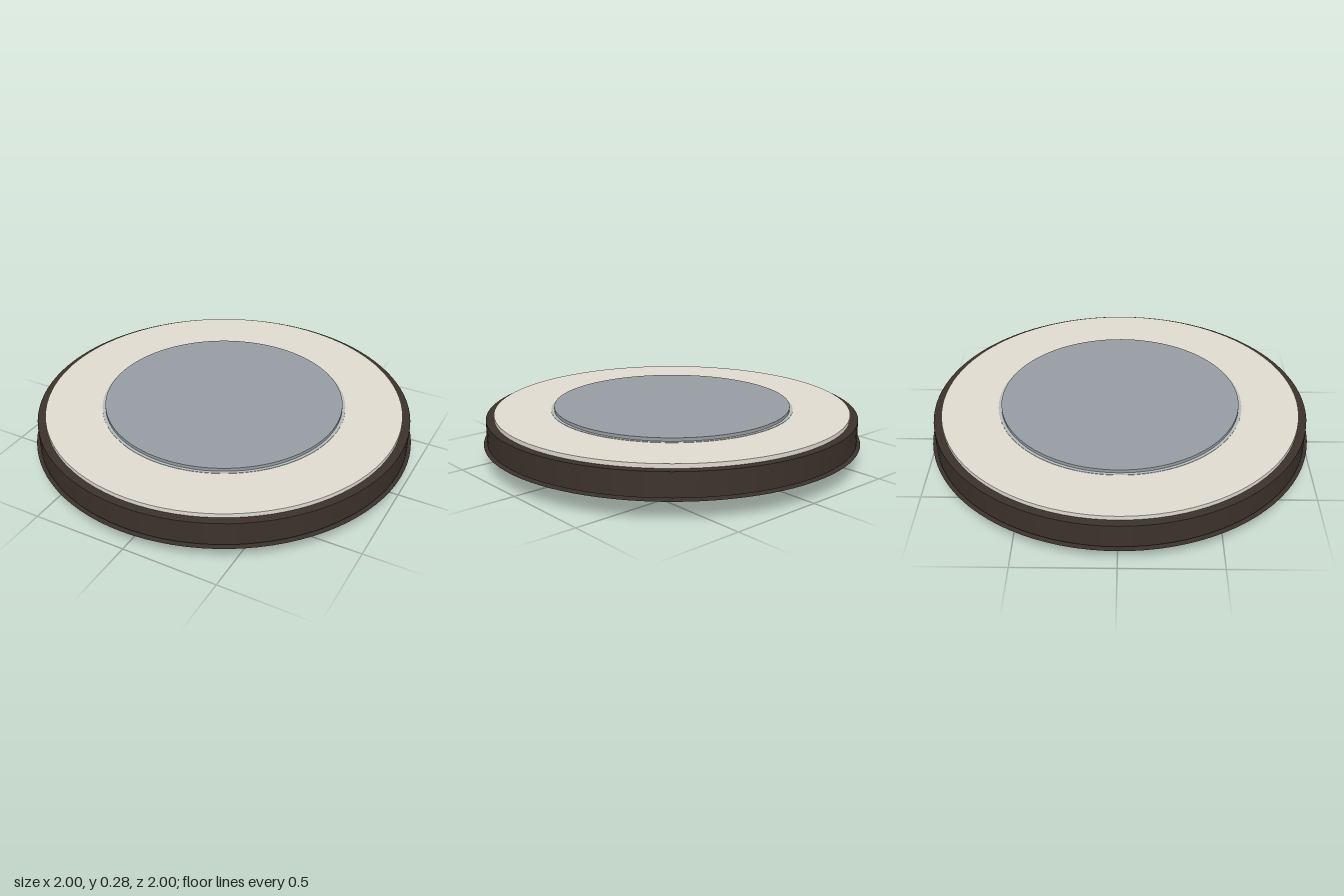
import * as THREE from 'three';

const material = (name, color) => {
  const m = new THREE.MeshStandardMaterial({ color });
  m.name = name;
  return m;
};

export function createModel() {
  const model = new THREE.Group();
  model.name = 'heatShield';
  const tileBrown = material('tile brown', 0x5f453a);
  const seamBrown = material('seam dark brown', 0x3a2a23);
  const bandBrown = material('band brown', 0x3b322a);
  const ivory = material('ivory', 0xdfdbd0);
  const slate = material('slate grey', 0x959ca1);
  const trimGrey = material('trim grey', 0xb4babd);

  const add = (name, geometry, mat, y = 0, parent = model) => {
    const mesh = new THREE.Mesh(geometry, mat);
    mesh.name = name;
    mesh.position.y = y;
    parent.add(mesh);
    return mesh;
  };
  const disc = (name, radius, bottom, top, mat) =>
    add(name, new THREE.CylinderGeometry(radius, radius, top - bottom, 96), mat, (bottom + top) / 2);

  // Shallow spherical bowl: height of the surface at a given radius
  const R = 4.72;
  const bowlY = r => R - Math.sqrt(R * R - r * r);
  const arc = (r0, r1, lift, steps) => Array.from({ length: steps + 1 }, (_, i) => {
    const r = r0 + (r1 - r0) * i / steps;
    return new THREE.Vector2(r, bowlY(r) + lift);
  });

  // Dark underlayer that shows through as the seams, closed on top
  add('shieldBase', new THREE.LatheGeometry(arc(0, 0.98, 0.002, 20), 96), seamBrown);
  const cap = new THREE.CircleGeometry(1, 96);
  cap.rotateX(-Math.PI / 2);
  add('shieldTop', cap, bandBrown, bowlY(1));

  // Tiles in concentric courses: inner radius, outer radius, count, angular offset
  const tiles = new THREE.Group();
  tiles.name = 'shieldTiles';
  model.add(tiles);
  const gap = 0.004;
  const rim = 0.94;
  add('centreTile', new THREE.LatheGeometry(arc(0, 0.16 - gap, 0, 4), 48), tileBrown, 0, tiles);
  add('rimTile', new THREE.LatheGeometry(arc(rim, 1, 0, 2), 96), tileBrown, 0, tiles);
  const courses = [
    [0.16, 0.365, 12, 0],
    [0.365, 0.61, 20, 0.1],
    [0.61, 0.82, 28, 0.05],
    [0.82, rim + gap, 36, 0.08],
  ];
  for (const [inner, outer, count, offset] of courses) {
    const step = Math.PI * 2 / count;
    const seam = 0.014 / ((inner + outer) / 2);
    const tile = new THREE.LatheGeometry(arc(inner + gap, outer - gap, 0, 4), 4, seam / 2, step - seam);
    for (let i = 0; i < count; i++) {
      add('tile', tile, tileBrown, 0, tiles).rotation.y = offset + i * step;
    }
  }

  // Stacked body above a narrow gap
  disc('sideBand', 0.982, 0.117, 0.24, bandBrown);
  disc('upperPlate', 0.94, 0.24, 0.262, ivory);
  disc('hatchTrim', 0.643, 0.262, 0.264, trimGrey);
  disc('hatchPlate', 0.627, 0.262, 0.281, slate);

  return model;
}
